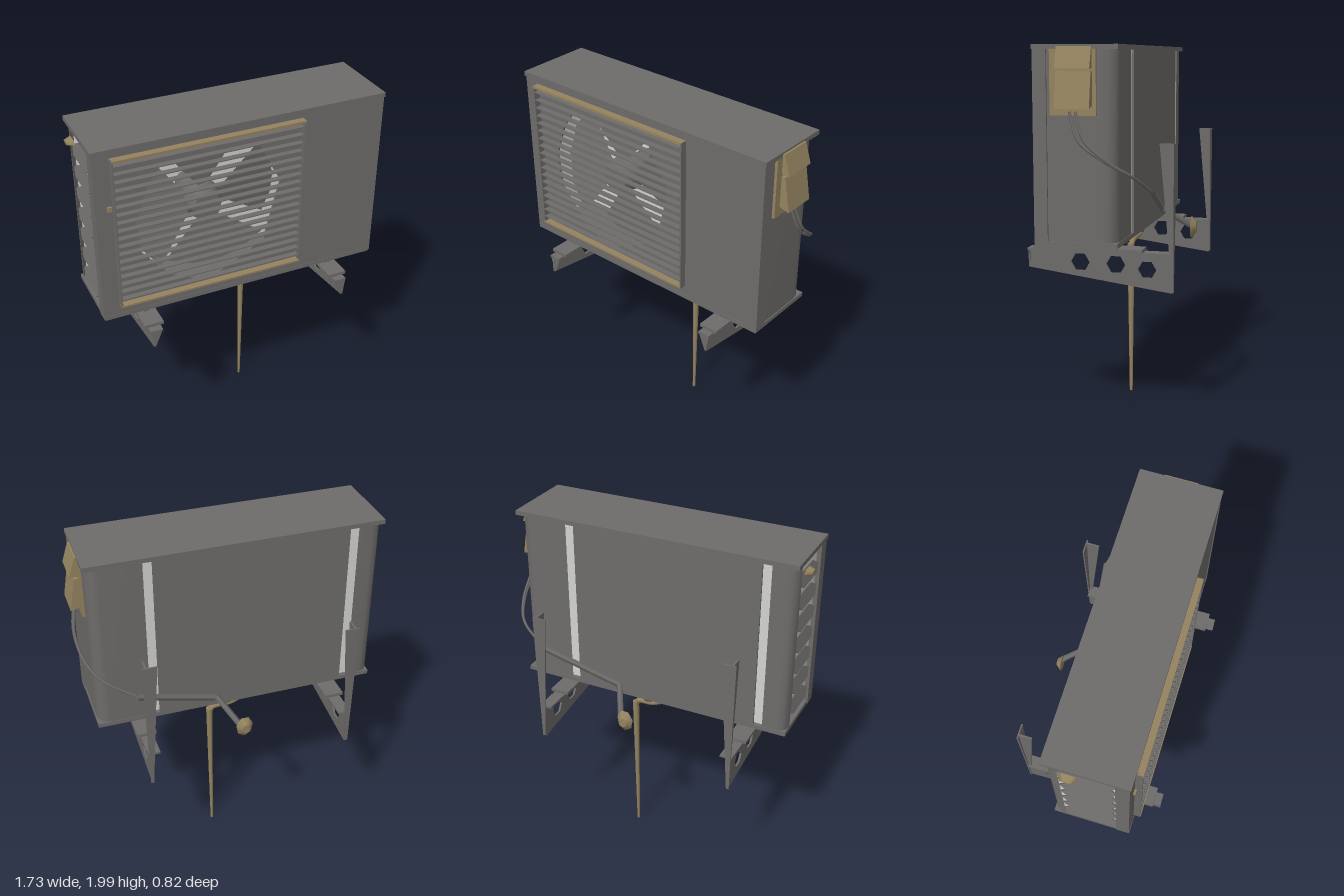
import * as THREE from 'three';

const mat = (name, color, side = THREE.DoubleSide) => {
  const m = new THREE.MeshStandardMaterial({ color, side });
  m.name = name;
  return m;
};

export function createModel() {
  const root = new THREE.Group();
  root.name = 'outdoorUnit';
  const grey = mat('casing grey', 0x6e6c6a);
  const tan = mat('tan plastic', 0x94835f);
  const light = mat('pale coil', 0xd2d2d0);

  const add = (name, geo, material, x = 0, y = 0, z = 0, parent = root) => {
    const m = new THREE.Mesh(geo, material);
    m.name = name;
    m.position.set(x, y, z);
    parent.add(m);
    return m;
  };
  // Box given by its limits on each axis
  const box = (name, material, [x0, x1], [y0, y1], [z0, z1], parent = root) =>
    add(name, new THREE.BoxGeometry(x1 - x0, y1 - y0, z1 - z0), material,
      (x0 + x1) / 2, (y0 + y1) / 2, (z0 + z1) / 2, parent);
  const polygon = pts => new THREE.Shape(pts.map(p => new THREE.Vector2(...p)));
  const plate = (shape, depth) => new THREE.ExtrudeGeometry(shape, { depth, bevelEnabled: false });
  // Plate drawn in (z, y) and made thick along x
  const sidePlate = (pts, depth, holes = []) => {
    const s = polygon(pts);
    s.holes = holes.map(polygon);
    return plate(s, depth).rotateY(-Math.PI / 2).scale(1, 1, 1).translate(depth / 2, 0, 0);
  };
  // Upright sheet that follows a plan of (x, z) points
  const sheet = (name, pts, y0, y1) => {
    const g = new THREE.PlaneGeometry(1, 1, pts.length - 1, 1);
    const pos = g.attributes.position;
    for (let i = 0; i < pos.count; i++) {
      const [x, z] = pts[i % pts.length];
      pos.setXYZ(i, x, i < pts.length ? y1 : y0, z);
    }
    g.computeVertexNormals();
    return add(name, g, grey);
  };
  const tube = (name, pts, radius, material, curved, sides = 8) => {
    const v = pts.map(p => new THREE.Vector3(...p));
    const path = curved ? new THREE.CatmullRomCurve3(v) : new THREE.CurvePath();
    if (!curved) for (let i = 1; i < v.length; i++) path.add(new THREE.LineCurve3(v[i - 1], v[i]));
    return add(name, new THREE.TubeGeometry(path, 40, radius, sides, false), material);
  };

  // Casing: roof, base, front panel with fan opening, walls
  box('roof', grey, [-0.835, 0.81], [1.965, 1.99], [-0.152, 0.295]);
  box('base', grey, [-0.825, 0.8], [0.975, 1.0], [-0.145, 0.29]);
  const front = polygon([[-0.83, 0.98], [0.785, 0.98], [0.785, 1.97], [-0.83, 1.97]]);
  front.holes.push(polygon([[-0.47, 1.85], [0.06, 1.85], [0.2, 1.6], [0.11, 1.25], [-0.1, 1.13],
    [-0.25, 1.07], [-0.45, 1.17], [-0.6, 1.35], [-0.62, 1.55], [-0.55, 1.74]]));
  add('frontPanel', plate(front, 0.012), grey, 0, 0, 0.276);
  box('frontCornerStrip', grey, [0.785, 0.805], [0.985, 1.97], [0.22, 0.292]);
  box('sideFrontPost', grey, [-0.83, -0.812], [0.98, 1.97], [0.215, 0.28]);
  sheet('rightWall', [[0.795, 0.28], [0.795, -0.06], [0.787, -0.1], [0.765, -0.13], [0.73, -0.142], [0.5, -0.142]], 0.98, 1.97);
  sheet('rearCornerPost', [[-0.69, -0.142], [-0.77, -0.142], [-0.8, -0.132], [-0.82, -0.11], [-0.825, -0.075]], 0.98, 1.97);
  box('backPanel', grey, [-0.64, 0.45], [0.98, 1.97], [-0.145, -0.135]);
  box('backCoil', light, [-0.78, 0.55], [1.0, 1.965], [-0.122, -0.105]);
  box('sideCoil', light, [-0.795, -0.78], [1.0, 1.965], [-0.12, 0.25]);

  // Pointed louvres on the coil side
  const louvre = sidePlate([[-0.085, 0], [-0.03, 0.035], [0.17, 0.035], [0.222, 0], [0.17, -0.035], [-0.03, -0.035]], 0.008);
  for (let i = 0; i < 7; i++) {
    add('sideLouvre', louvre, grey, -0.812, 1.09 + i * 0.127, 0).rotation.z = -0.4;
  }
  add('sideHandle', new THREE.CylinderGeometry(0.03, 0.055, 0.035, 6).rotateZ(Math.PI / 2).scale(1, 0.35, 1),
    tan, -0.85, 1.91, -0.015);

  // Fan
  const fan = new THREE.Group();
  fan.name = 'fan';
  fan.position.set(-0.21, 1.52, 0.18);
  root.add(fan);
  for (const [mid, span] of [[89, 78], [9, 82], [-78, 92], [182, 108]]) {
    const half = THREE.MathUtils.degToRad(span / 2);
    const inset = a => half - 0.04 / a;
    const pts = [];
    for (let i = 0; i <= 4; i++) {
      const a = inset(0.42) * (i / 2 - 1);
      pts.push([0.42 * Math.cos(a), 0.42 * Math.sin(a)]);
    }
    const b = inset(0.1);
    pts.push([0.1 * Math.cos(b), 0.1 * Math.sin(b)], [0.1 * Math.cos(b), -0.1 * Math.sin(b)]);
    const g = new THREE.ShapeGeometry(polygon(pts));
    const pos = g.attributes.position;
    for (let i = 0; i < pos.count; i++) pos.setZ(i, pos.getY(i) * 0.18);
    g.computeVertexNormals();
    add('fanBlade', g, grey, 0, 0, 0, fan).rotation.z = THREE.MathUtils.degToRad(mid);
  }
  add('fanHub', new THREE.CylinderGeometry(0.085, 0.118, 0.11, 7).rotateX(Math.PI / 2), grey, 0, 0, 0.02, fan);
  add('fanMotor', new THREE.CylinderGeometry(0.07, 0.07, 0.2, 10).rotateX(Math.PI / 2), grey, 0, 0, -0.12, fan);

  // Grille of thin shelves inside a rim
  for (let i = 0; i < 18; i++) {
    const y = 1.105 + i * 0.047;
    box('grilleBar', grey, [-0.73, 0.31], [y - 0.003, y + 0.003], [0.292, 0.325]);
  }
  box('grilleTopRim', tan, [-0.74, 0.32], [1.927, 1.94], [0.286, 0.328]);
  box('grilleBottomRim', tan, [-0.74, 0.32], [1.06, 1.07], [0.286, 0.328]);
  for (const x of [-0.74, 0.314]) box('grilleSideRim', grey, [x, x + 0.008], [1.06, 1.94], [0.286, 0.326]);
  box('grilleClip', tan, [-0.77, -0.745], [1.645, 1.672], [0.286, 0.3]);

  // Valve cover: backing plate and two wedges
  box('valvePlate', tan, [0.795, 0.81], [1.64, 1.975], [-0.04, 0.2]);
  const wedges = [
    ['valveCoverTop', [[0.81, 1.98], [0.82, 1.98], [0.855, 1.872], [0.81, 1.872]]],
    ['valveCoverBottom', [[0.81, 1.86], [0.832, 1.86], [0.865, 1.675], [0.81, 1.69]]],
  ];
  for (const [name, pts] of wedges) add(name, plate(polygon(pts), 0.18), tan, 0, 0, -0.02);

  // Cable from the valves round the back to a wall flange
  for (const dz of [0, 0.03]) {
    tube('cable', [[0.83, 1.66, 0.06 + dz], [0.855, 1.52, 0.01 + dz], [0.84, 1.42, -0.1 + dz / 2],
      [0.77, 1.34, -0.21], [0.6, 1.24, -0.28]], 0.008, grey, true, 5);
  }
  tube('wallCable', [[0.6, 1.24, -0.28], [0.14, 1.09, -0.23], [0.06, 0.99, -0.37], [0.03, 0.97, -0.4]], 0.018, grey, false, 5);
  add('wallFlange', new THREE.CylinderGeometry(0.025, 0.055, 0.03, 7).rotateX(-Math.PI / 2).rotateY(Math.PI).rotateX(Math.PI).scale(0.9, 1.2, 1),
    tan, 0.03, 0.97, -0.395);

  // Wall brackets with pierced arms
  const hole = (z, y, r) => Array.from({ length: 6 }, (_, i) =>
    [z + r * Math.cos(i * Math.PI / 3), y + r * Math.sin(i * Math.PI / 3)]);
  for (const x of [-0.58, 0.55]) {
    const s = Math.sign(x);
    const b = new THREE.Group();
    b.name = 'bracket';
    b.position.x = x;
    root.add(b);
    add('arm', sidePlate([[0.41, 0.915], [0.41, 0.81], [-0.38, 0.705], [-0.38, 0.915]], 0.012,
      [hole(0.12, 0.85, 0.052), hole(-0.075, 0.845, 0.052), hole(-0.245, 0.825, 0.05)]), grey, s * 0.015, 0, 0, b);
    box('armTop', grey, [-0.035, 0.035], [0.905, 0.917], [-0.38, 0.41], b);
    add('armNose', plate(polygon([[-0.035, 0.915], [0.035, 0.915], [s * 0.022, 0.81], [s * 0.008, 0.81]]), 0.008), grey, 0, 0, 0.4, b);
    add('uprightFace', plate(polygon([[-0.04, 1.49], [0.04, 1.49], [s * 0.02 + 0.008, 0.71], [s * 0.02 - 0.008, 0.71]]), 0.008),
      grey, 0, 0, -0.388, b);
    add('uprightWeb', sidePlate([[-0.31, 1.49], [-0.388, 1.49], [-0.388, 0.8], [-0.365, 0.9]], 0.01), grey, s * 0.02, 0, 0, b);
    box('pad', grey, [-0.055, 0.055], [0.917, 0.935], [-0.225, 0.37], b);
    add('padCrown', new THREE.CylinderGeometry(0.028, 0.052, 0.018, 8).scale(1, 1, 4), grey, 0, 0.942, 0.08, b);
    for (const z of [-0.08, 0.24]) box('foot', grey, [-0.014, 0.014], [0.935, 0.98], [z - 0.014, z + 0.014], b);
  }

  // Drain: nozzle, elbow and a tapering pipe
  add('drainNozzle', new THREE.CylinderGeometry(0.055, 0.03, 0.05, 8), grey, 0.035, 0.955, -0.07);
  tube('drainElbow', [[-0.06, 0.945, -0.07], [0.01, 0.915, -0.07], [0.11, 0.893, -0.055], [0.132, 0.86, -0.05]], 0.017, tan, true);
  const pipe = add('drainPipe', new THREE.CylinderGeometry(0.019, 0.008, 0.88, 8).scale(1, 1, 1.1), tan, 0.129, 0.44, -0.05);
  pipe.rotation.z = -0.008;
  return root;
}
